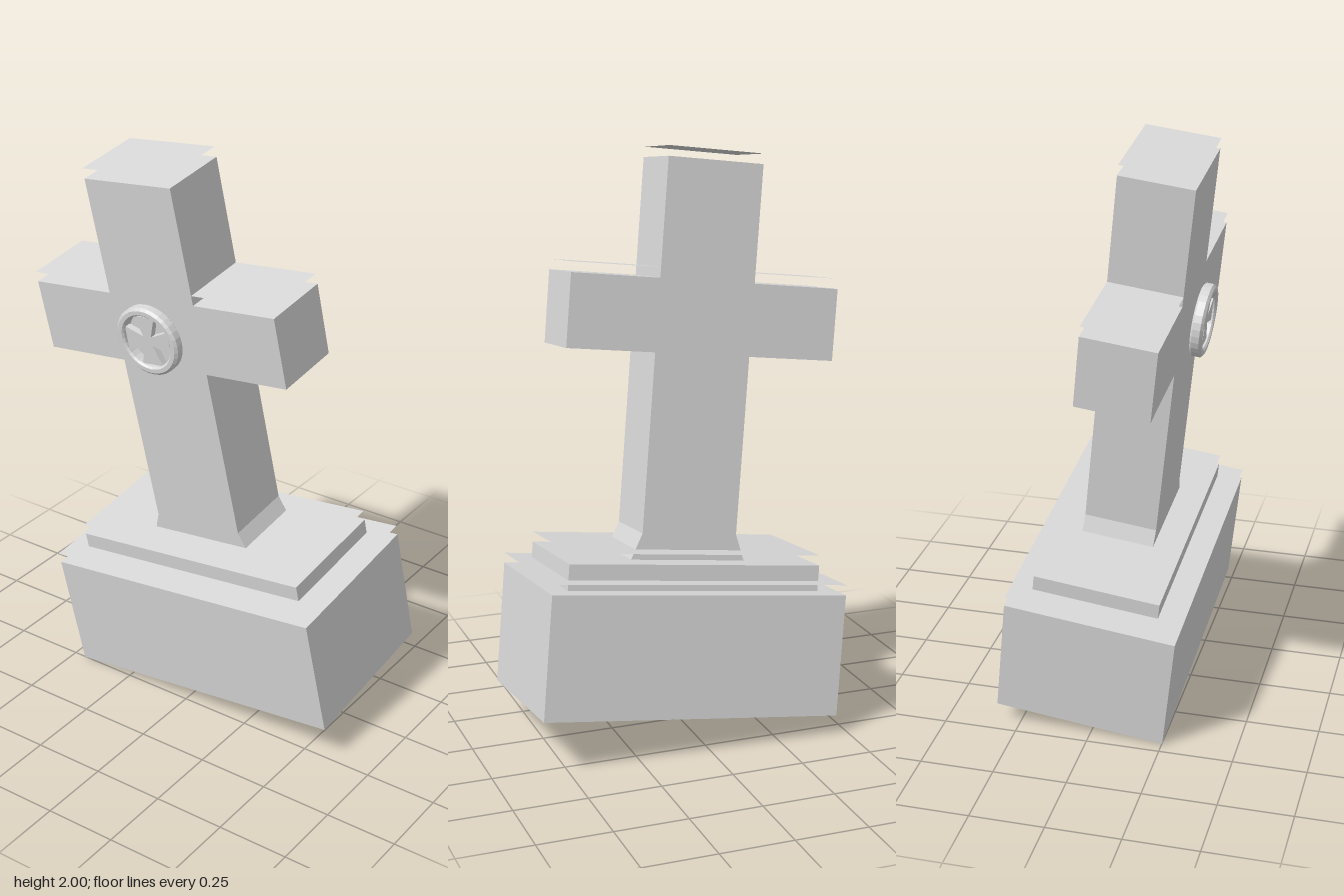
import * as THREE from 'three';

export function createModel() {
  const stone = new THREE.MeshStandardMaterial({ color: 0xd8d8d8, side: THREE.DoubleSide });
  stone.name = 'greyStone';

  const model = new THREE.Group();
  model.name = 'leaningGravestone';
  // the whole monument leans forward and to its right
  const stoneGroup = new THREE.Group();
  stoneGroup.name = 'monument';
  stoneGroup.rotation.set(0.121, 0, 0.121);
  stoneGroup.position.set(0.066, 0.099, -0.03);
  model.add(stoneGroup);

  const add = (name, geometry, x = 0, y = 0, z = 0) => {
    const mesh = new THREE.Mesh(geometry, stone);
    mesh.name = name;
    mesh.position.set(x, y, z);
    stoneGroup.add(mesh);
    return mesh;
  };

  const LIFT = 0.035; // gap between each top face and the sheet above it
  const CZ = -0.003;  // depth centre of the upper parts
  const sheet = (name, w, d, x, y, z) =>
    add(name, new THREE.PlaneGeometry(w, d).rotateX(-Math.PI / 2), x, y + LIFT, z);

  // plinth and step, each with its floating top sheet
  add('plinth', new THREE.BoxGeometry(1.05, 0.421, 0.582), 0, 0.2105, 0);
  sheet('plinthTopSheet', 1.05, 0.582, 0, 0.421, 0);
  add('step', new THREE.BoxGeometry(0.9, 0.089, 0.43), 0, 0.4655, CZ);
  sheet('stepTopSheet', 0.9, 0.43, 0, 0.51, CZ);

  // cross outline with a flared foot, mirrored left to right
  const W = 0.17, ARM = 0.48, TOP = 1.859, ARM_LOW = 1.21, ARM_TOP = 1.458, DEPTH = 0.248;
  const half = [[0.205, 0.51], [W, 0.6], [W, ARM_LOW], [ARM, ARM_LOW], [ARM, ARM_TOP],
    [W, ARM_TOP], [W, TOP]];
  const outline = [...half, ...half.map(([x, y]) => [-x, y]).reverse()];
  const crossShape = new THREE.Shape(outline.map(([x, y]) => new THREE.Vector2(x, y)));
  add('cross', new THREE.ExtrudeGeometry(crossShape, { depth: DEPTH, bevelEnabled: false }),
    0, 0, CZ - DEPTH / 2);

  // floating sheets over the cross head and arms
  sheet('headTopSheet', 2 * W, DEPTH, 0, TOP, CZ);
  for (const side of [-1, 1]) {
    sheet(side > 0 ? 'leftArmTopSheet' : 'rightArmTopSheet',
      ARM - W, DEPTH, side * (ARM + W) / 2, ARM_TOP, CZ);
  }

  // round medallion in front of the crossing
  const medallion = new THREE.Group();
  medallion.name = 'medallion';
  medallion.position.set(0, 1.334, 0.146);
  stoneGroup.add(medallion);

  // ring with chamfered rims, turned about the z axis
  const profile = [[0.092, 0], [0.115, 0], [0.121, 0.006], [0.121, 0.031], [0.112, 0.039],
    [0.098, 0.039], [0.092, 0.033], [0.092, 0]].map(([r, h]) => new THREE.Vector2(r, h));
  const ringGeo = new THREE.LatheGeometry(profile, 32).rotateX(Math.PI / 2).toNonIndexed();
  ringGeo.computeVertexNormals();
  const ring = new THREE.Mesh(ringGeo, stone);
  ring.name = 'medallionRing';
  medallion.add(ring);

  // four flared spokes inside the ring
  const spokeShape = new THREE.Shape([[-0.009, 0], [0.009, 0], [0.042, 0.086], [-0.042, 0.086]]
    .map(([x, y]) => new THREE.Vector2(x, y)));
  const spokeGeo = new THREE.ExtrudeGeometry(spokeShape, { depth: 0.022, bevelEnabled: false });
  for (let i = 0; i < 4; i++) {
    const spoke = new THREE.Mesh(spokeGeo, stone);
    spoke.name = 'medallionSpoke';
    spoke.position.z = 0.006;
    spoke.rotation.z = i * Math.PI / 2;
    medallion.add(spoke);
  }
  return model;
}
